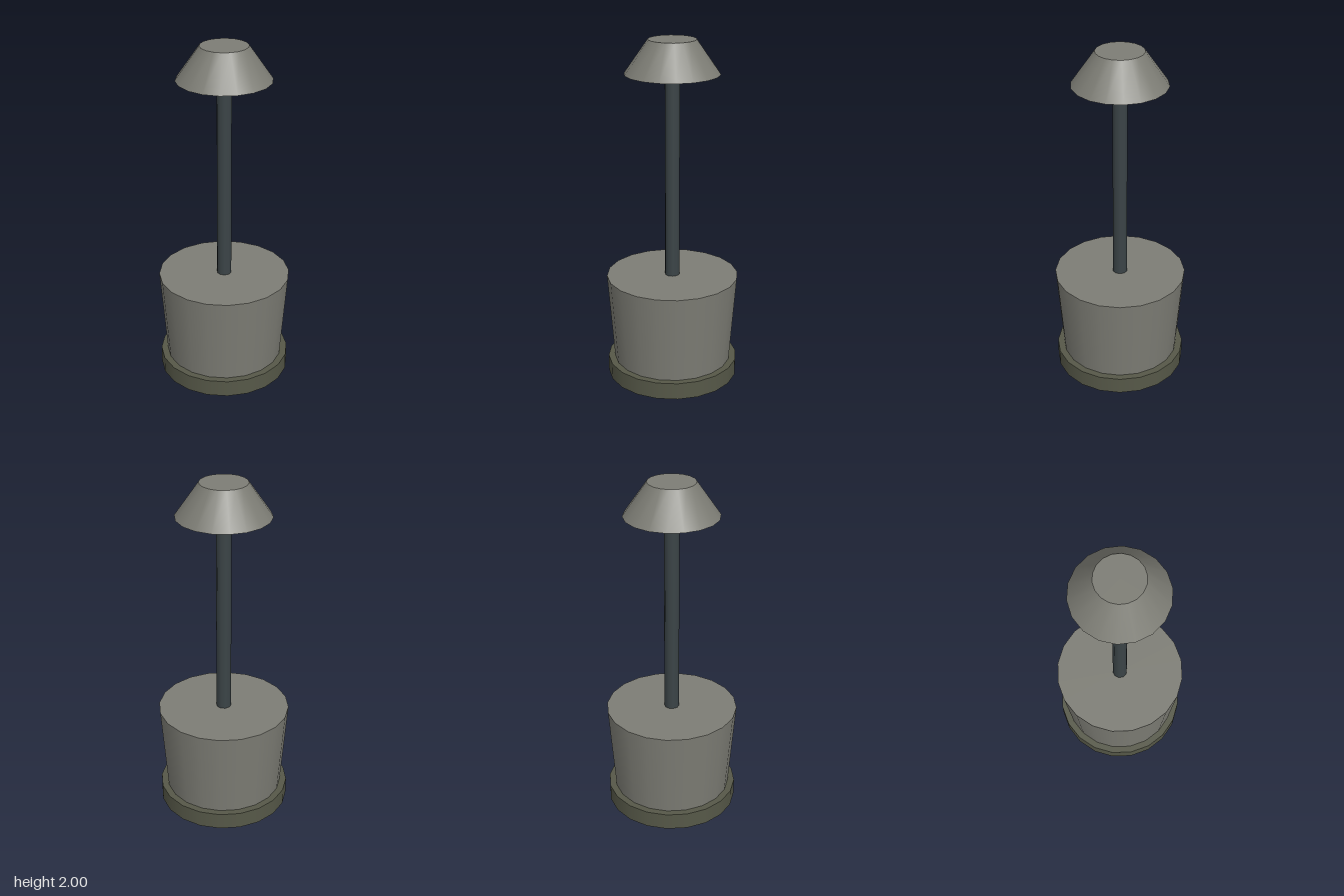
import * as THREE from 'three';

export function createModel() {
  const model = new THREE.Group();

  const material = (name, color) => {
    const m = new THREE.MeshStandardMaterial({ color });
    m.name = name;
    return m;
  };
  const stone = material('warm grey', 0x7d7d75);
  const olive = material('dark olive', 0x565848);
  const steel = material('dark steel', 0x3b4447);

  // Round part standing between two heights, with a corner facing +x
  function addRound(name, mat, topRadius, bottomRadius, y0, y1, sides) {
    const geometry = new THREE.CylinderGeometry(topRadius, bottomRadius, y1 - y0, sides);
    geometry.rotateY(Math.PI / 2);
    const mesh = new THREE.Mesh(geometry, mat);
    mesh.name = name;
    mesh.position.y = (y0 + y1) / 2;
    model.add(mesh);
  }

  addRound('footPlate', olive, 0.384, 0.384, 0, 0.1, 20);
  addRound('base', stone, 0.384, 0.345, 0.1, 0.62, 20);
  addRound('pole', steel, 0.043, 0.043, 0.62, 1.81, 10);
  addRound('shade', stone, 0.135, 0.268, 1.81, 2, 18);

  return model;
}
